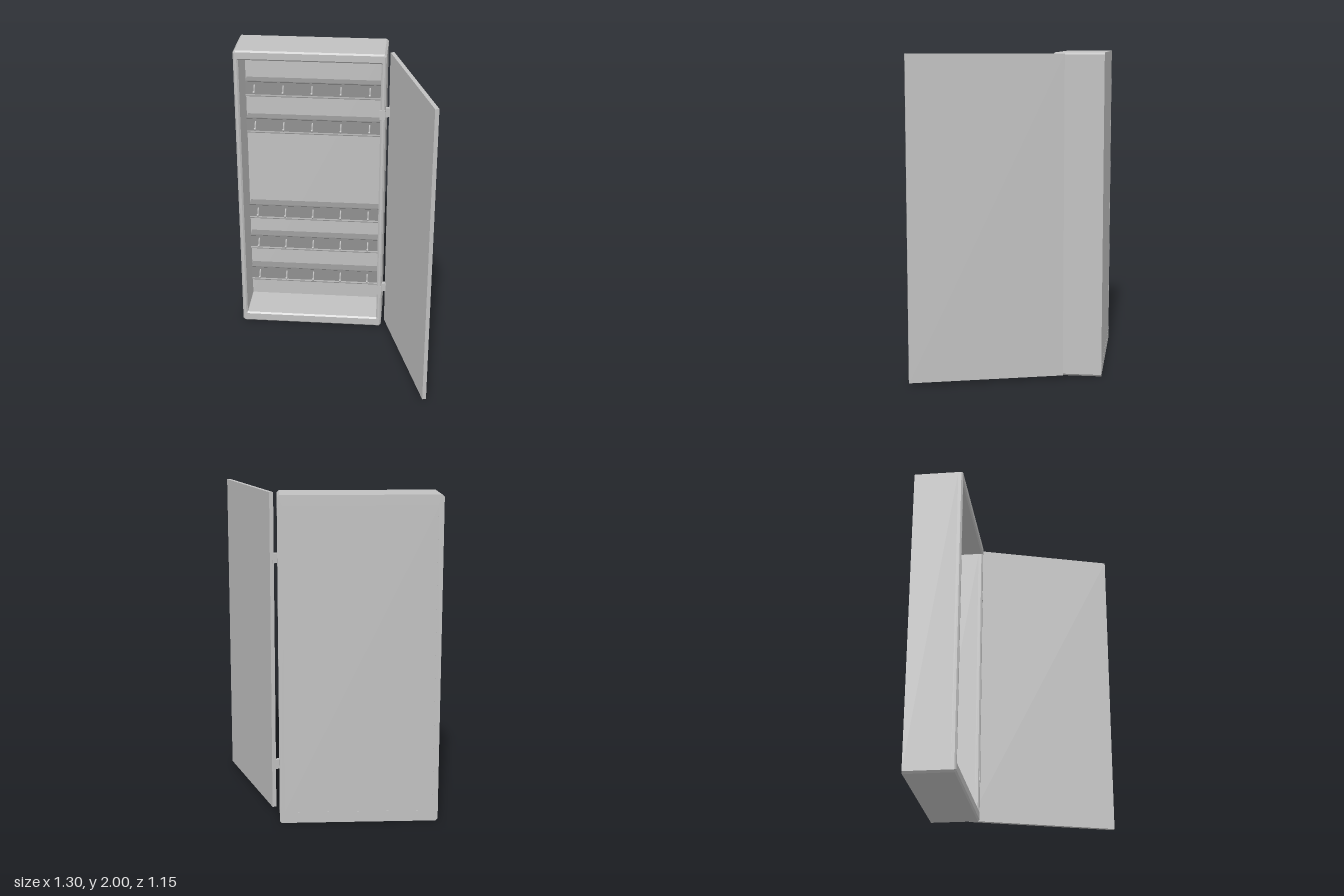
import * as THREE from 'three';

const body = new THREE.MeshStandardMaterial({ color: 0xc0c0c0 });
body.name = 'light grey metal';
const rail = new THREE.MeshStandardMaterial({ color: 0x909090 });
rail.name = 'mid grey metal';

const X0 = -0.65, X1 = 0.32;               // cabinet sides
const IX0 = -0.617, IX1 = 0.287;           // inner opening
const BACK = -0.58, FRONT = -0.27, INNER_BACK = -0.545;

function add(parent, name, geometry, material, x = 0, y = 0, z = 0) {
  const mesh = new THREE.Mesh(geometry, material);
  mesh.name = name;
  mesh.position.set(x, y, z);
  parent.add(mesh);
  return mesh;
}

// Outline with small cut corners
function outline(target, x0, x1, y0, y1, c) {
  const p = [[x0 + c, y0], [x1 - c, y0], [x1, y0 + c], [x1, y1 - c],
    [x1 - c, y1], [x0 + c, y1], [x0, y1 - c], [x0, y0 + c]];
  return target.setFromPoints(p.map(([x, y]) => new THREE.Vector2(x, y)));
}

function ringShape() {
  const shape = outline(new THREE.Shape(), X0, X1, 0, 2, 0.013);
  shape.holes.push(outline(new THREE.Path(), IX0, IX1, 0.068, 1.937, 0.002));
  return shape;
}

// Open-fronted cabinet: walls, bevelled front frame and back panel
function cabinet() {
  const g = new THREE.Group();
  g.name = 'cabinet';
  add(g, 'walls', new THREE.ExtrudeGeometry(ringShape(), { depth: 0.28, bevelEnabled: false }), body, 0, 0, BACK);
  const b = 0.01;
  add(g, 'frontFrame', new THREE.ExtrudeGeometry(ringShape(), {
    depth: 0.02, bevelEnabled: true, bevelSegments: 1, bevelSize: b, bevelThickness: b, bevelOffset: -b,
  }), body, 0, 0, FRONT - 0.02 - b);
  add(g, 'backPanel', new THREE.BoxGeometry(IX1 - IX0 + 0.02, 1.89, INNER_BACK - BACK - 0.001), body,
    (IX0 + IX1) / 2, 1.0025, (BACK + INNER_BACK) / 2);
  return g;
}

// Hook rail: channel standing off the back panel, with lipped edges and five hooks
function hookRail(y) {
  const g = new THREE.Group();
  g.name = 'hookRail';
  const h = 0.055, f = 0.07;
  const section = new THREE.Shape([
    [0, -h], [f, -h], [f, -h + 0.006], [f - 0.008, -h + 0.012],
    [f - 0.008, h - 0.012], [f, h - 0.006], [f, h], [0, h],
  ].map(([z, yy]) => new THREE.Vector2(z, yy)));
  const length = 0.89;
  const geo = new THREE.ExtrudeGeometry(section, { depth: length, bevelEnabled: false });
  geo.rotateY(-Math.PI / 2);               // section depth faces +z, length runs to -x
  add(g, 'rail', geo, rail, 0.28, 0, INNER_BACK);

  const curve = new THREE.CatmullRomCurve3([
    [0, 0.022, -0.004], [0, 0.012, 0.012], [0, -0.018, 0.02], [0, -0.026, 0.032], [0, -0.012, 0.042],
  ].map((p) => new THREE.Vector3(...p)));
  const hook = new THREE.TubeGeometry(curve, 12, 0.0055, 6);
  for (let i = 0; i < 5; i++) {
    const x = -0.55 + i * 0.19;
    add(g, 'hook', hook, body, x, 0, INNER_BACK + f - 0.006);
    add(g, 'hookTip', new THREE.SphereGeometry(0.008, 8, 6), body, x, -0.012, INNER_BACK + f + 0.036);
  }
  g.position.y = y;
  return g;
}

// Hinge: leaf on the frame and knuckle bridging to the door
function hinge(y) {
  const g = new THREE.Group();
  g.name = 'hinge';
  add(g, 'leaf', new THREE.BoxGeometry(0.036, 0.066, 0.004), body, 0.3, 0, FRONT);
  add(g, 'arm', new THREE.BoxGeometry(0.05, 0.06, 0.028), body, 0.33, 0, -0.322).rotation.y = 0.3;
  g.position.y = y;
  return g;
}

export function createModel() {
  const model = new THREE.Group();
  model.name = 'keyCabinet';
  model.add(cabinet());
  for (const y of [1.67, 1.41, 0.765, 0.525, 0.27]) model.add(hookRail(y));
  for (const y of [1.598, 0.295]) model.add(hinge(y));

  // Door swung open
  add(model, 'door', new THREE.BoxGeometry(0.025, 1.98, 0.953), body, 0.494, 1.005, 0.114).rotation.y = 0.302;
  return model;
}
